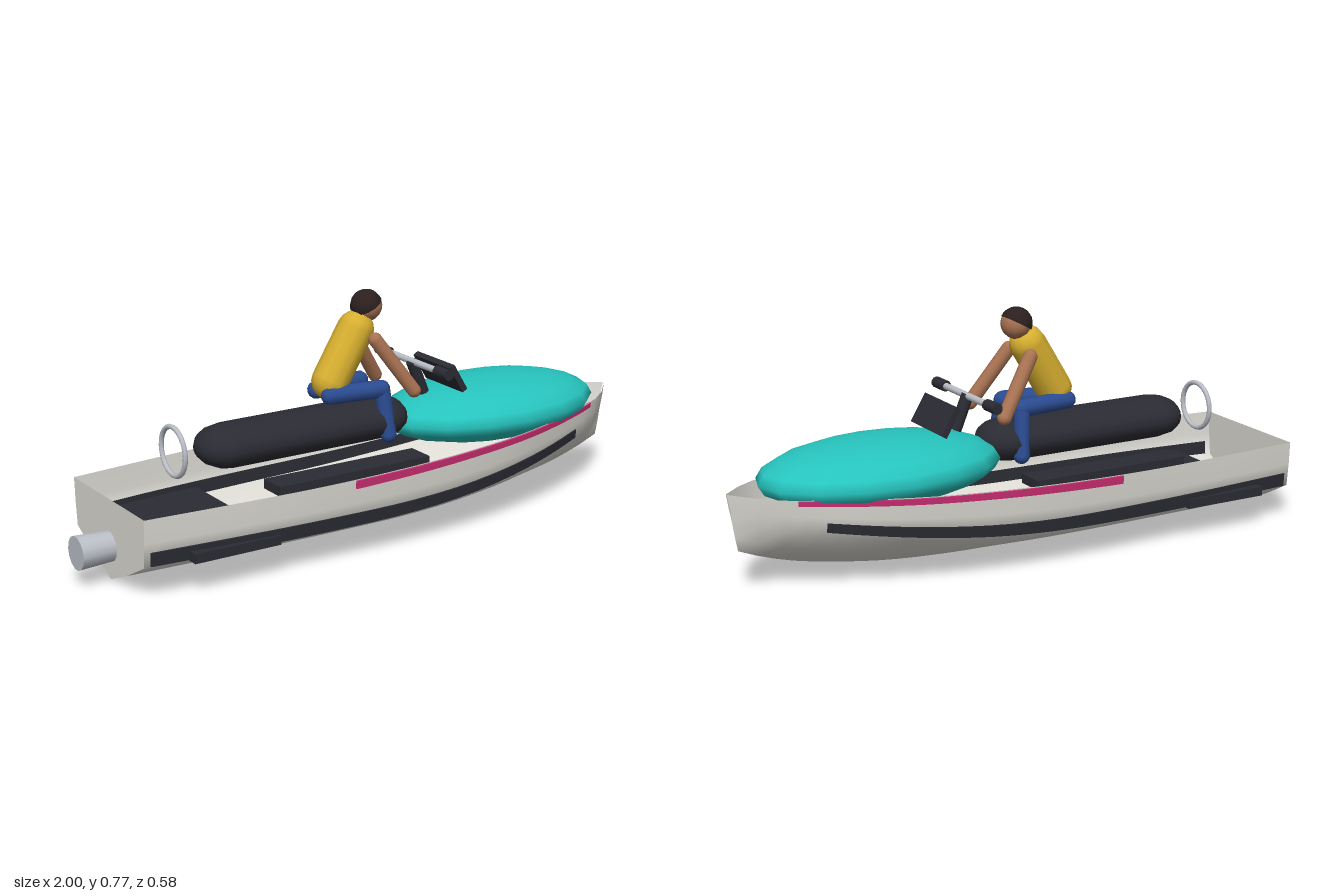
import * as THREE from 'three';

const mat = (name, color, side = THREE.FrontSide) => {
  const m = new THREE.MeshStandardMaterial({ color, side });
  m.name = name;
  return m;
};

// Hull stations: x, keel y, chine half-width, chine y, sheer half-width, sheer y
const STATIONS = [
  [-0.89, 0, 0.218, 0.105, 0.23, 0.255],
  [-0.6, 0, 0.245, 0.105, 0.255, 0.257],
  [-0.3, 0, 0.262, 0.105, 0.275, 0.26],
  [0, 0, 0.268, 0.108, 0.283, 0.268],
  [0.25, 0.003, 0.258, 0.122, 0.273, 0.277],
  [0.5, 0.02, 0.222, 0.15, 0.24, 0.287],
  [0.75, 0.06, 0.15, 0.185, 0.165, 0.298],
  [0.88, 0.095, 0.085, 0.205, 0.1, 0.304],
  [0.97, 0.13, 0.003, 0.225, 0.003, 0.31],
];

// Smoothly interpolated station at x
function stationAt(x) {
  let i = 0;
  while (i < STATIONS.length - 2 && x > STATIONS[i + 1][0]) i++;
  const a = STATIONS[i], b = STATIONS[i + 1];
  const p = STATIONS[Math.max(i - 1, 0)], n = STATIONS[Math.min(i + 2, STATIONS.length - 1)];
  const h = b[0] - a[0], t = (x - a[0]) / h;
  const [, keel, chineW, chineY, sheerW, sheerY] = a.map((v, k) => {
    const m0 = ((b[k] - p[k]) / (b[0] - p[0])) * h, m1 = ((n[k] - v) / (n[0] - a[0])) * h;
    const t2 = t * t, t3 = t2 * t;
    return (2 * t3 - 3 * t2 + 1) * v + (t3 - 2 * t2 + t) * m0 + (3 * t2 - 2 * t3) * b[k] + (t3 - t2) * m1;
  });
  return { keel, chineW, chineY, sheerW, sheerY };
}

// Skin joining equal-length rings of [x, y, z] points
function loft(rings, closed, flat) {
  const n = rings[0].length, index = [];
  for (let i = 0; i < rings.length - 1; i++) {
    for (let j = 0; j < (closed ? n : n - 1); j++) {
      const a = i * n + j, b = i * n + ((j + 1) % n), c = a + n, d = b + n;
      index.push(a, c, b, b, c, d);
    }
  }
  if (closed) {
    const e = (rings.length - 1) * n;
    index.push(0, 1, 2, 0, 2, 3, e, e + 2, e + 1, e, e + 3, e + 2);
  }
  let g = new THREE.BufferGeometry();
  g.setAttribute('position', new THREE.Float32BufferAttribute(rings.flat(2), 3));
  g.setIndex(index);
  if (flat) g = g.toNonIndexed();
  g.computeVertexNormals();
  return g;
}

// Half section from sheer to keel, mirrored to a full ring
function hullRing(x) {
  const s = stationAt(x), rake = 0.03 * Math.max(0, (x - 0.75) / 0.22);
  const half = [
    [x + rake, s.sheerY, s.sheerW],
    [x + rake * 0.75, (s.sheerY + s.chineY) / 2, (s.sheerW + s.chineW) / 2 + 0.002],
    [x + rake * 0.5, s.chineY, s.chineW],
    [x + rake * 0.25, s.keel + (s.chineY - s.keel) * 0.43, s.chineW * 0.49],
  ];
  return [...half, [x, s.keel, 0], ...half.map(([a, b, c]) => [a, b, -c]).reverse()];
}

// Thin band following the hull side
function hullBand(x0, x1, side, range) {
  const rings = [];
  for (let i = 0; i <= 20; i++) {
    const x = x0 + ((x1 - x0) * i) / 20, s = stationAt(x);
    const [lo, hi] = range(s, i / 20);
    const z = (y) => s.chineW + ((s.sheerW - s.chineW) * (y - s.chineY)) / (s.sheerY - s.chineY);
    rings.push([[lo, -0.002], [hi, -0.002], [hi, 0.007], [lo, 0.007]].map(([y, o]) => [x, y, side * (z(y) + o)]));
  }
  return loft(rings, true, true);
}

export function createModel() {
  const group = new THREE.Group();
  const hullMat = mat('hull white', 0xdedcd5, THREE.DoubleSide);
  const dark = mat('black rubber', 0x2b2b34, THREE.DoubleSide);
  const teal = mat('teal', 0x27c4be);
  const pink = mat('pink', 0xcf2f74, THREE.DoubleSide);
  const metal = mat('metal', 0xbcc0c8);
  const yellow = mat('vest yellow', 0xd8b030);
  const blue = mat('trouser blue', 0x2b4c92);
  const skin = mat('skin', 0xaa7353);
  const hairMat = mat('hair', 0x2c201f, THREE.DoubleSide);

  const add = (name, geometry, material, x = 0, y = 0, z = 0) => {
    const m = new THREE.Mesh(geometry, material);
    m.name = name;
    m.position.set(x, y, z);
    group.add(m);
    return m;
  };
  const up = new THREE.Vector3(0, 1, 0);
  // Capsule or cylinder spanning two points
  const span = (name, a, b, r, material, round = true, sides = 10) => {
    const p = new THREE.Vector3(...a), q = new THREE.Vector3(...b), len = p.distanceTo(q);
    const g = round ? new THREE.CapsuleGeometry(r, len, 4, sides) : new THREE.CylinderGeometry(r, r, len, sides);
    const m = add(name, g, material);
    m.position.copy(p).add(q).multiplyScalar(0.5);
    m.quaternion.setFromUnitVectors(up, q.sub(p).normalize());
    return m;
  };

  // Open hull shell and transom
  const rings = [];
  for (let i = 0; i <= 32; i++) rings.push(hullRing(-0.89 + (1.86 * i) / 32));
  add('hull', loft(rings, false, false), hullMat);
  const transom = new THREE.Shape(rings[0].map(([, y, z]) => new THREE.Vector2(z, y)));
  add('transom', new THREE.ShapeGeometry(transom), hullMat, -0.89).rotation.y = -Math.PI / 2;

  // Side bands and foot pads
  for (const side of [1, -1]) {
    add('rubRail', hullBand(-0.87, 0.75, side, (s, t) => {
      const lo = s.chineY + 0.003 + 0.008 * t;
      return [lo, lo + 0.043 - 0.014 * t * t];
    }), dark);
    add('sideStripe', hullBand(-0.2, 0.83, side, (s, t) => [s.sheerY - 0.029 + 0.01 * t, s.sheerY - 0.003]), pink);
    add('footPad', new THREE.BoxGeometry(0.54, 0.03, 0.095), dark, -0.18, 0.262, side * 0.203);
  }
  add('rearMat', new THREE.BoxGeometry(0.29, 0.03, 0.54), dark, -0.605, 0.12, 0);

  // Hood and seat
  add('hood', new THREE.SphereGeometry(1, 16, 10), teal, 0.5, 0.318, 0).scale.set(0.4, 0.1, 0.24);
  const seat = span('seat', [-0.49, 0.348, 0], [0.06, 0.348, 0], 0.1, dark, true, 16);
  seat.scale.x = 0.68;

  // Jet nozzle and tow ring
  const nozzle = add('jetNozzle', new THREE.CylinderGeometry(0.043, 0.053, 0.18, 14), metal, -0.91, 0.105, 0);
  nozzle.rotation.z = -Math.PI / 2;
  add('towRing', new THREE.TorusGeometry(0.076, 0.008, 8, 24), metal, -0.67, 0.36, 0).rotation.y = Math.PI / 2;

  // Steering and dash
  span('steeringColumn', [0.195, 0.508, 0], [0.24, 0.4, 0], 0.02, dark, false, 8);
  span('handlebar', [0.2, 0.506, -0.19], [0.2, 0.506, 0.19], 0.011, metal, false);
  for (const side of [1, -1])
    span('grip', [0.2, 0.506, side * 0.132], [0.2, 0.506, side * 0.198], 0.018, dark, false);
  add('dash', new THREE.BoxGeometry(0.02, 0.1, 0.205), dark, 0.307, 0.456, 0).rotation.z = 0.54;

  // Rider
  span('torso', [-0.115, 0.49, 0], [-0.02, 0.645, 0], 0.059, yellow, true, 12);
  add('head', new THREE.SphereGeometry(0.049, 12, 10), skin, 0.022, 0.714, 0);
  const hair = add('hair', new THREE.SphereGeometry(0.0515, 12, 6, 0, Math.PI * 2, 0, Math.PI / 2), hairMat, 0.021, 0.715, 0);
  hair.rotation.z = 0.5;
  for (const side of [1, -1]) {
    span('arm', [0.01, 0.62, side * 0.067], [0.127, 0.449, side * 0.11], 0.023, skin);
    span('thigh', [-0.14, 0.457, side * 0.04], [0.035, 0.457, side * 0.062], 0.029, blue);
    span('shin', [0.038, 0.452, side * 0.064], [0.05, 0.31, side * 0.083], 0.026, blue);
  }
  return group;
}
